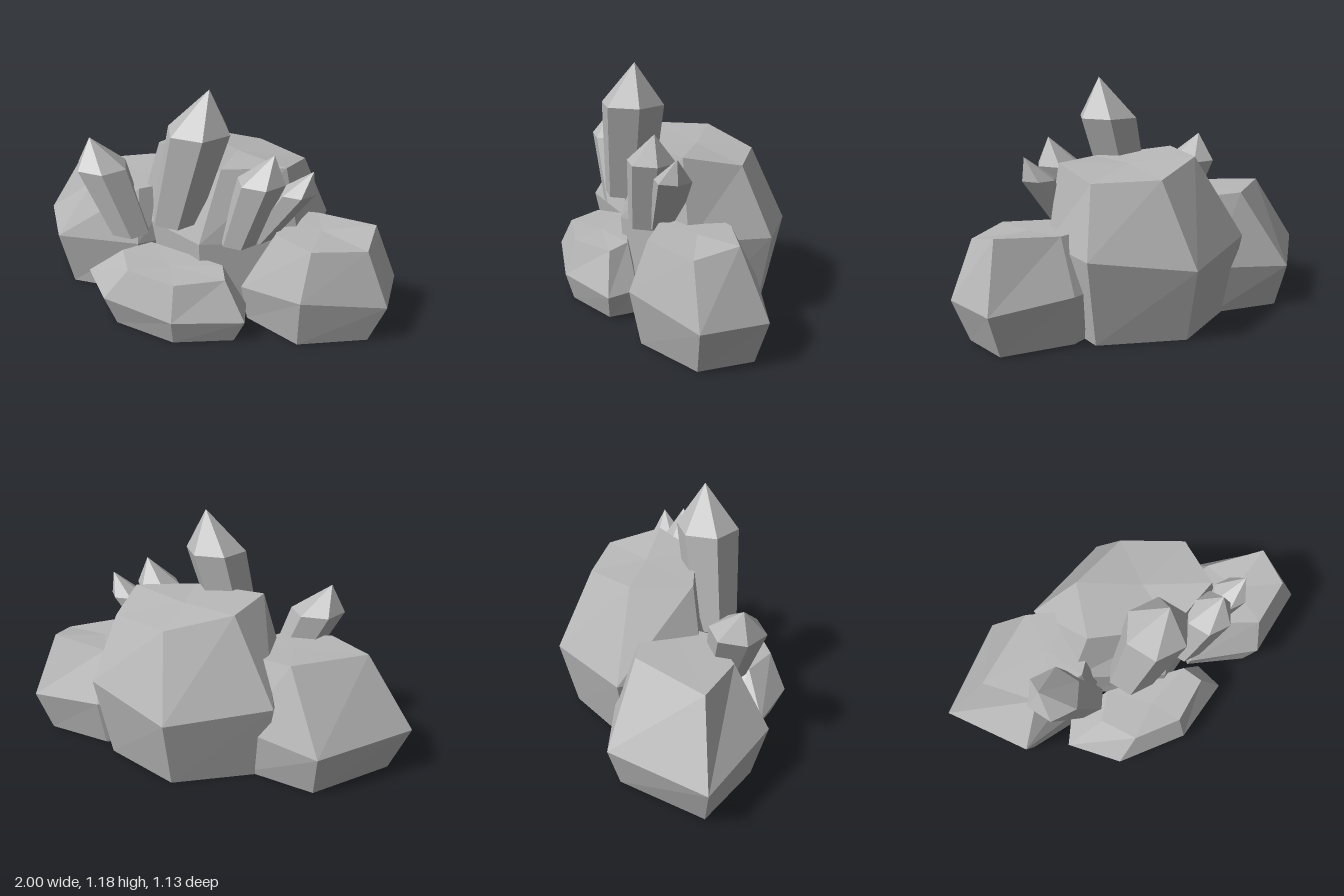
import * as THREE from 'three';

const stone = new THREE.MeshStandardMaterial({ color: 0xb8b8b8, flatShading: true });
stone.name = 'grey stone';

// Skin a stack of rings (bottom to top, each counter-clockwise from above); close with a flat base and a centre or tip.
function loft(name, rings, tip) {
  const n = rings[0].length;
  const pos = [];
  const tri = (...pts) => pts.forEach((p) => pos.push(...p));
  const middle = (ring) => [0, 1, 2].map((k) => ring.reduce((s, p) => s + p[k], 0) / n);
  const base = middle(rings[0]);
  const top = rings[rings.length - 1];
  const peak = tip || middle(top);
  for (let i = 0; i < n; i++) {
    const j = (i + 1) % n;
    tri(base, rings[0][j], rings[0][i]);
    for (let r = 0; r < rings.length - 1; r++) {
      const lo = rings[r], hi = rings[r + 1];
      tri(lo[i], lo[j], hi[j]);
      tri(lo[i], hi[j], hi[i]);
    }
    tri(top[i], top[j], peak);
  }
  const geometry = new THREE.BufferGeometry();
  geometry.setAttribute('position', new THREE.Float32BufferAttribute(pos, 3));
  geometry.computeVertexNormals();
  const mesh = new THREE.Mesh(geometry, stone);
  mesh.name = name;
  return mesh;
}

// Leaning six-sided prism with a pointed end
function crystal(name, base, baseRadius, shoulder, shoulderRadius, tip) {
  const hex = ([x, y, z], r) => Array.from({ length: 6 }, (_, i) => {
    const a = (i * Math.PI) / 3;
    return [x + r * Math.cos(a), y, z - r * Math.sin(a)];
  });
  return loft(name, [hex(base, baseRadius), hex(shoulder, shoulderRadius)], tip);
}

export function createModel() {
  const group = new THREE.Group();
  group.name = 'crystalRocks';

  // Boulders: foot, waist and crown rings
  group.add(loft('rightRock', [
    [[-0.9, 0, -0.08], [-0.67, 0, 0.22], [-0.3, 0, 0.18], [-0.15, 0, -0.05], [-0.22, 0, -0.3], [-0.57, 0, -0.4]],
    [[-1, 0.24, -0.1], [-0.71, 0.295, 0.28], [-0.28, 0.3, 0.2], [-0.1, 0.28, -0.05], [-0.2, 0.25, -0.33], [-0.59, 0.22, -0.46]],
    [[-0.76, 0.595, -0.05], [-0.56, 0.585, 0.15], [-0.3, 0.58, 0.13], [-0.15, 0.58, -0.05], [-0.2, 0.59, -0.2], [-0.42, 0.6, -0.28]],
  ]));
  group.add(loft('centreRock', [
    [[-0.3, 0, 0.05], [0.1, 0, 0.25], [0.47, 0, 0.05], [0.49, 0, -0.29], [0.11, 0, -0.49], [-0.3, 0, -0.3]],
    [[-0.34, 0.4, 0.07], [0.1, 0.42, 0.28], [0.53, 0.42, 0.05], [0.56, 0.42, -0.335], [0.12, 0.355, -0.57], [-0.36, 0.4, -0.36]],
    [[-0.22, 0.82, 0.05], [0.17, 0.79, 0.18], [0.455, 0.8, 0.06], [0.46, 0.745, -0.22], [0.17, 0.75, -0.37], [-0.14, 0.81, -0.24]],
  ]));
  group.add(loft('leftRock', [
    [[0.62, 0, 0.295], [0.92, 0, 0.12], [0.9, 0, -0.14], [0.56, 0, -0.215], [0.35, 0, -0.15], [0.32, 0, 0.18]],
    [[0.64, 0.265, 0.35], [1, 0.21, 0.135], [0.97, 0.21, -0.175], [0.58, 0.245, -0.26], [0.3, 0.25, -0.2], [0.3, 0.2, 0.22]],
    [[0.655, 0.5, 0.27], [0.885, 0.485, 0.13], [0.875, 0.525, -0.07], [0.57, 0.5, -0.135], [0.4, 0.5, -0.1], [0.45, 0.5, 0.17]],
  ]));
  group.add(loft('frontRock', [
    [[-0.42, 0, 0.3], [-0.26, 0, 0.48], [0.07, 0, 0.52], [0.33, 0, 0.385], [0.3, 0, 0.2], [-0.35, 0, 0.15]],
    [[-0.5, 0.165, 0.33], [-0.295, 0.165, 0.535], [0.08, 0.135, 0.56], [0.39, 0.125, 0.4], [0.34, 0.13, 0.25], [-0.42, 0.17, 0.2]],
    [[-0.295, 0.33, 0.33], [-0.18, 0.325, 0.49], [0.07, 0.31, 0.505], [0.275, 0.315, 0.37], [0.22, 0.33, 0.27], [-0.2, 0.33, 0.2]],
  ]));

  // Crystals growing from the front of the rocks
  group.add(crystal('rightCrystal', [-0.325, 0.37, 0.19], 0.105, [-0.475, 0.705, 0.19], 0.137, [-0.54, 0.845, 0.19]));
  group.add(crystal('tallCrystal', [-0.06, 0.495, 0.205], 0.125, [0.067, 0.98, 0.205], 0.158, [0.12, 1.185, 0.205]));
  group.add(crystal('leftCrystal', [0.265, 0.43, 0.185], 0.092, [0.375, 0.77, 0.185], 0.118, [0.435, 0.91, 0.185]));
  group.add(crystal('smallCrystal', [0.345, 0.44, 0.125], 0.07, [0.53, 0.72, 0.125], 0.088, [0.605, 0.835, 0.125]));
  return group;
}
